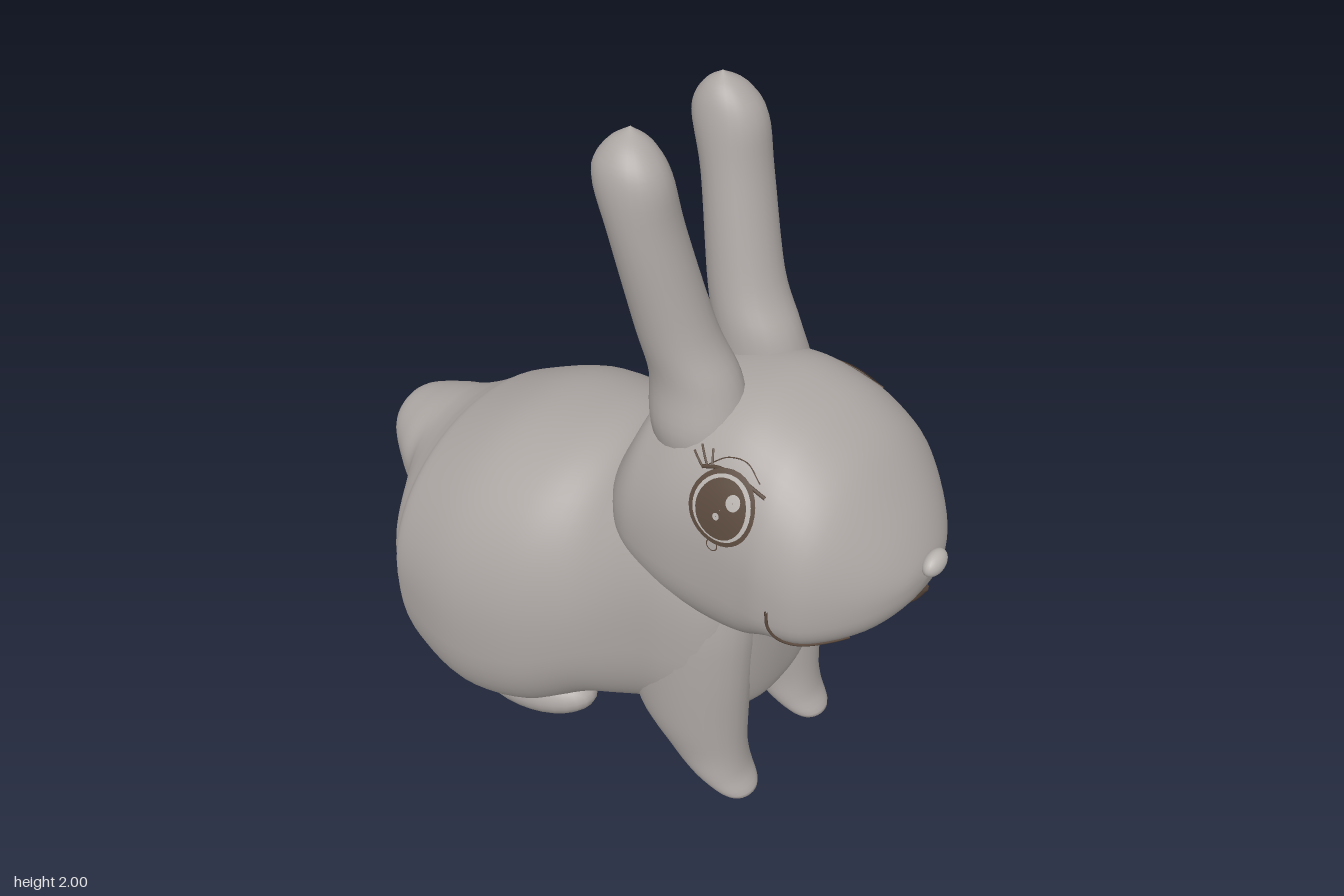
import * as THREE from 'three';

const fur = new THREE.MeshStandardMaterial({ color: 0xaca6a3 });
fur.name = 'warm grey fur';
const brown = new THREE.MeshStandardMaterial({ color: 0x5a493d, side: THREE.DoubleSide });
brown.name = 'dark brown';
const pale = new THREE.MeshStandardMaterial({ color: 0xb8b3af, side: THREE.DoubleSide });
pale.name = 'pale grey';

// Sections along x: x, bottom, widest y, top, half width, roundness
const BODY = [
  [-0.912, 0.655, 0.655, 0.655, 0, 2], [-0.89, 0.56, 0.65, 0.73, 0.1, 2],
  [-0.8, 0.475, 0.63, 0.765, 0.175, 2], [-0.73, 0.4, 0.6, 0.785, 0.215, 2],
  [-0.69, 0.355, 0.56, 0.797, 0.285, 1.9], [-0.64, 0.27, 0.51, 0.82, 0.375, 1.9],
  [-0.6, 0.1, 0.47, 0.845, 0.42, 2], [-0.55, 0.02, 0.45, 0.875, 0.455, 2.1],
  [-0.35, 0, 0.43, 0.965, 0.495, 2.2], [-0.15, 0.05, 0.45, 1, 0.47, 2.2],
  [0, 0.14, 0.5, 1.01, 0.405, 2.1], [0.1, 0.17, 0.56, 1.06, 0.37, 2.1],
  [0.2, 0.21, 0.62, 1.1, 0.345, 2.2], [0.3, 0.24, 0.64, 1.1, 0.33, 2.3],
  [0.39, 0.26, 0.64, 1.05, 0.3, 2.3], [0.45, 0.29, 0.64, 0.98, 0.245, 2.2],
  [0.485, 0.36, 0.64, 0.9, 0.16, 2], [0.505, 0.64, 0.64, 0.64, 0, 2],
];
const HEAD = [
  [0.01, 0.95, 0.95, 0.95, 0, 2], [0.035, 0.86, 0.95, 1.04, 0.17, 2],
  [0.085, 0.78, 0.95, 1.15, 0.26, 2], [0.14, 0.74, 0.95, 1.26, 0.305, 2],
  [0.21, 0.7, 0.95, 1.31, 0.325, 2.1], [0.3, 0.68, 0.95, 1.345, 0.335, 2.3],
  [0.42, 0.67, 0.95, 1.36, 0.335, 2.4], [0.52, 0.695, 0.94, 1.34, 0.34, 2.4],
  [0.6, 0.75, 0.93, 1.31, 0.345, 2.3], [0.7, 0.77, 0.92, 1.24, 0.32, 2.2],
  [0.8, 0.81, 0.93, 1.12, 0.22, 2.1], [0.86, 0.88, 0.95, 1.02, 0.11, 2],
  [0.88, 0.955, 0.955, 0.955, 0, 2],
];
// Upright limbs: y, centre x, centre z, radius x, radius z
const EAR = [
  [1.0, 0.3, 0.13, 0, 0], [1.12, 0.285, 0.14, 0.1, 0.08], [1.24, 0.275, 0.145, 0.13, 0.115],
  [1.37, 0.25, 0.135, 0.12, 0.105], [1.5, 0.2, 0.15, 0.1, 0.1],
  [1.75, 0.14, 0.185, 0.09, 0.095], [1.89, 0.105, 0.195, 0.098, 0.085],
  [1.96, 0.095, 0.19, 0.06, 0.055], [2, 0.09, 0.18, 0, 0],
];
const LEG = [
  [0.03, 0.475, 0.19, 0, 0], [0.04, 0.475, 0.19, 0.05, 0.06], [0.1, 0.41, 0.19, 0.085, 0.092],
  [0.18, 0.355, 0.19, 0.125, 0.105], [0.3, 0.305, 0.19, 0.172, 0.125], [0.5, 0.29, 0.19, 0.192, 0.132],
  [0.68, 0.29, 0.18, 0.19, 0.135], [0.82, 0.3, 0.17, 0.14, 0.11], [0.9, 0.3, 0.17, 0, 0],
];

function sampler(rows) {
  const f = new THREE.CubicInterpolant(rows.map((_, i) => i), rows.flat(), rows[0].length, []);
  return (t) => Array.from(f.evaluate(t));
}

// Smooth skin through interpolated rings
function loft(rows, point, sides, steps) {
  const at = sampler(rows), n = (rows.length - 1) * steps, pos = [], idx = [];
  for (let i = 0; i <= n; i++) {
    const row = at(i / steps);
    for (let j = 0; j < sides; j++) pos.push(...point(row, (j / sides) * Math.PI * 2));
  }
  for (let i = 0; i < n; i++) {
    for (let j = 0; j < sides; j++) {
      const a = i * sides + j, b = i * sides + ((j + 1) % sides);
      idx.push(a, b, a + sides, b, b + sides, a + sides);
    }
  }
  const g = new THREE.BufferGeometry();
  g.setAttribute('position', new THREE.Float32BufferAttribute(pos, 3));
  g.setIndex(idx);
  g.computeVertexNormals();
  return g;
}

// Sections are squarer below their widest line than above it
const SQUARER = 0.6;
const curved = (v, n) => Math.sign(v) * Math.pow(Math.abs(v), 2 / n);
const bodyPoint = ([x, yb, yc, yt, hw, n], a) => {
  const e = Math.cos(a) < 0 ? n + SQUARER : n, c = curved(Math.cos(a), e);
  return [x, yc + c * (c > 0 ? yt - yc : yc - yb), hw * curved(Math.sin(a), e)];
};
const limbPoint = (side) => ([y, cx, cz, rx, rz], a) =>
  [cx + rx * Math.sin(a), y, side * cz + rz * Math.cos(a)];

// Half width of the head skin at a given x and y
const headAt = sampler(HEAD);
function skinZ(x, y) {
  let lo = 0, hi = HEAD.length - 1;
  for (let k = 0; k < 30; k++) {
    const mid = (lo + hi) / 2;
    if (headAt(mid)[0] < x) lo = mid; else hi = mid;
  }
  const [, yb, yc, yt, hw, n] = headAt(lo);
  const d = Math.min(1, Math.abs(y > yc ? (y - yc) / (yt - yc) : (yc - y) / (yc - yb)));
  const e = y > yc ? n : n + SQUARER;
  return hw * Math.pow(1 - Math.pow(d, e), 1 / e);
}

export function createModel() {
  const model = new THREE.Group();
  const add = (name, geometry, material) => {
    const mesh = new THREE.Mesh(geometry, material);
    mesh.name = name;
    model.add(mesh);
    return mesh;
  };

  add('bodyAndTail', loft(BODY, bodyPoint, 64, 5), fur);
  add('head', loft(HEAD, bodyPoint, 64, 5), fur);

  for (const side of [1, -1]) {
    const tag = side > 0 ? 'Left' : 'Right';
    add('ear' + tag, loft(EAR, limbPoint(side), 24, 5), fur);
    add('frontLeg' + tag, loft(LEG, limbPoint(side), 28, 4), fur);
    const foot = add('hindFoot' + tag, new THREE.SphereGeometry(1, 28, 16), fur);
    foot.scale.set(0.22, 0.085, 0.11);
    foot.position.set(-0.2, 0.13, side * 0.28);
    foot.rotation.z = 0.2;

    // Flat ring or disc laid on the skin
    const patch = (name, x, y, inner, outer, squash, lift, material) => {
      const g = new THREE.RingGeometry(inner, outer, 32, 5);
      const p = g.attributes.position;
      for (let i = 0; i < p.count; i++) {
        const px = x + p.getX(i) * squash, py = y + p.getY(i);
        p.setXYZ(i, px, py, side * (skinZ(px, py) + lift));
      }
      if (side < 0) g.index.array.reverse();
      g.computeVertexNormals();
      add(name + tag, g, material);
    };
    // Thin line following the skin
    const line = (name, points, radius) => {
      const flat = new THREE.CatmullRomCurve3(points.map(([x, y]) => new THREE.Vector3(x, y, 0)));
      const path = flat.getPoints(16).map((v) => v.setZ(side * (skinZ(v.x, v.y) + 0.003)));
      add(name + tag, new THREE.TubeGeometry(new THREE.CatmullRomCurve3(path), 24, radius, 6), brown);
    };

    // Eye
    patch('eyeOutline', 0.46, 1.16, 0.08, 0.091, 1, 0.014, brown);
    patch('eyeWhite', 0.46, 1.16, 0.001, 0.082, 1, 0.012, pale);
    patch('iris', 0.46, 1.16, 0.001, 0.073, 0.95, 0.017, brown);
    patch('eyeGlint', 0.49, 1.19, 0.001, 0.019, 1, 0.021, pale);
    patch('smallGlint', 0.455, 1.145, 0.001, 0.009, 1, 0.021, pale);
    patch('tear', 0.45, 1.055, 0.014, 0.017, 1, 0.006, brown);
    line('eyelid', [[0.375, 1.225], [0.42, 1.237], [0.48, 1.232], [0.555, 1.212]], 0.005);
    line('eyelidFold', [[0.39, 1.235], [0.43, 1.262], [0.48, 1.265], [0.53, 1.235]], 0.0015);
    [[0.338, 1.245], [0.352, 1.262], [0.385, 1.265]].forEach((tip, i) =>
      line('eyelash' + (i + 1), [[0.378 + i * 0.012, 1.222 + i * 0.005], tip], 0.003));

    // Smile
    line('smile', [[0.62, 0.935], [0.628, 0.88], [0.66, 0.835], [0.71, 0.82], [0.775, 0.825]], 0.004);
  }

  // Nose and the line below it
  const nose = add('nose', new THREE.SphereGeometry(1, 24, 16), pale);
  nose.scale.set(0.026, 0.033, 0.046);
  nose.position.set(0.884, 0.99, 0);
  const lip = new THREE.CatmullRomCurve3([[0.863, 0.9], [0.833, 0.848], [0.782, 0.798]]
    .map(([x, y]) => new THREE.Vector3(x, y, 0)));
  add('lipLine', new THREE.TubeGeometry(lip, 16, 0.017, 8), brown);

  return model;
}
